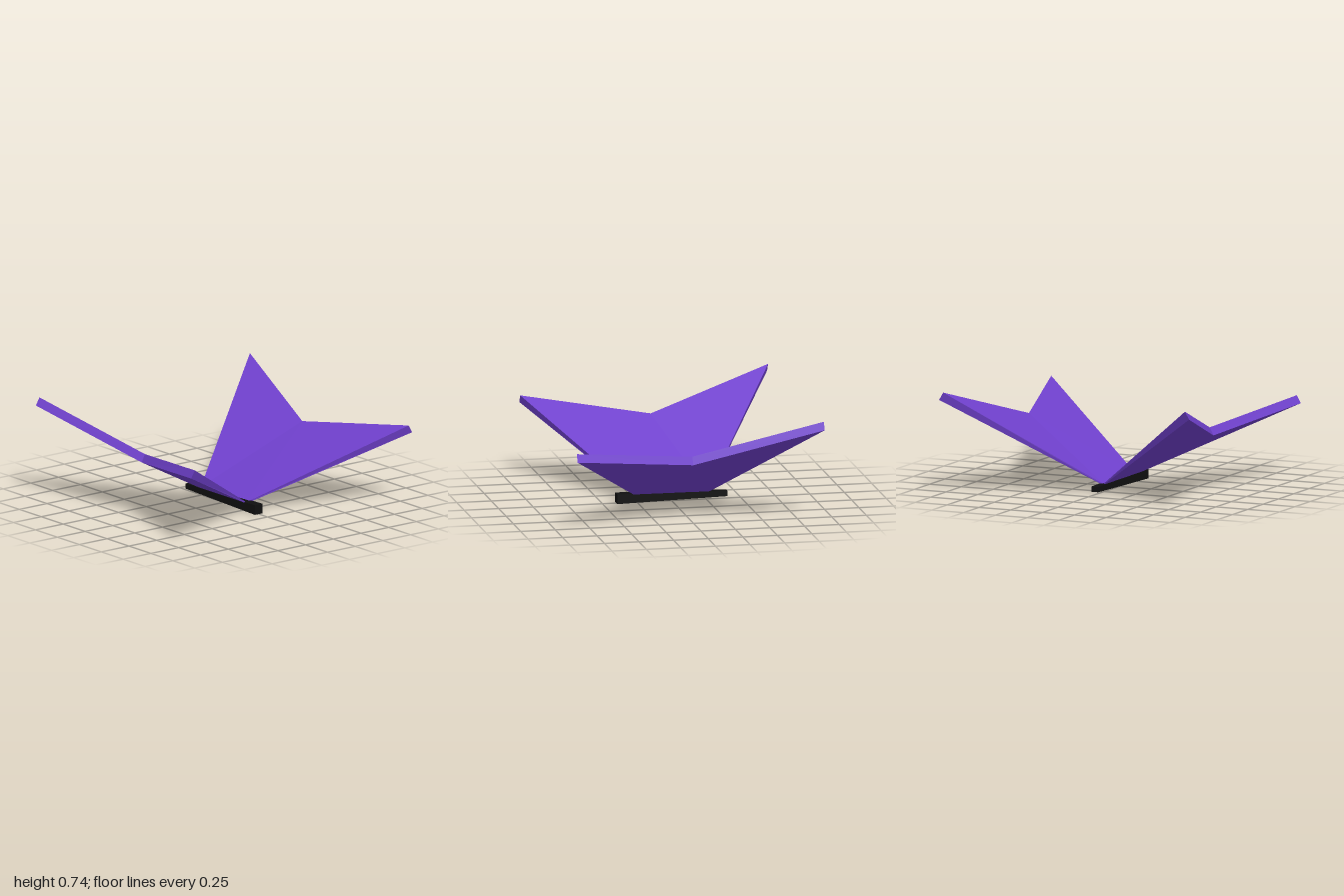
import * as THREE from 'three';

const wingPurple = new THREE.MeshStandardMaterial({ color: 0x6f40cc });
wingPurple.name = 'wing purple';
const bodyBlack = new THREE.MeshStandardMaterial({ color: 0x101010 });
bodyBlack.name = 'body black';

// Wing outline, counterclockwise from above: front root, front tip, notch, back tip, back root
const upper = [[0, 0.058, 0.26], [0.965, 0.592, 0.89], [0.71, 0.476, 0], [0.95, 0.74, -0.9], [0, 0.058, -0.26]];
const lower = [[0, 0.048, 0.26], [0.997, 0.537, 0.89], [0.74, 0.42, 0], [0.982, 0.685, -0.9], [0, 0.048, -0.26]];

// Thin wedge-shaped wing; side is 1 for left, -1 for right
function makeWing(side) {
  const positions = [];
  const triangle = (a, b, c) => {
    const corners = side > 0 ? [a, b, c] : [a, c, b];
    for (const [x, y, z] of corners) positions.push(x * side, y, z);
  };
  for (const [a, b, c] of [[0, 1, 2], [0, 2, 4], [4, 2, 3]]) {
    triangle(upper[a], upper[b], upper[c]);
    triangle(lower[a], lower[c], lower[b]);
  }
  // Rim between the upper and lower surfaces
  for (let i = 0; i < 5; i++) {
    const j = (i + 1) % 5;
    triangle(upper[i], lower[i], lower[j]);
    triangle(upper[i], lower[j], upper[j]);
  }
  const geometry = new THREE.BufferGeometry();
  geometry.setAttribute('position', new THREE.Float32BufferAttribute(positions, 3));
  geometry.computeVertexNormals();
  const wing = new THREE.Mesh(geometry, wingPurple);
  wing.name = side > 0 ? 'leftWing' : 'rightWing';
  return wing;
}

// Square body that narrows towards the tail
function makeBody() {
  const geometry = new THREE.BoxGeometry(0.07, 0.07, 0.8).toNonIndexed();
  const p = geometry.attributes.position;
  for (let i = 0; i < p.count; i++) {
    if (p.getZ(i) < 0) p.setXY(i, p.getX(i) * 0.75, p.getY(i) * 0.54 + 0.003);
  }
  geometry.translate(0, 0.036, 0);
  geometry.computeVertexNormals();
  const body = new THREE.Mesh(geometry, bodyBlack);
  body.name = 'body';
  return body;
}

export function createModel() {
  const model = new THREE.Group();
  model.name = 'butterfly';
  model.add(makeBody(), makeWing(1), makeWing(-1));
  return model;
}
